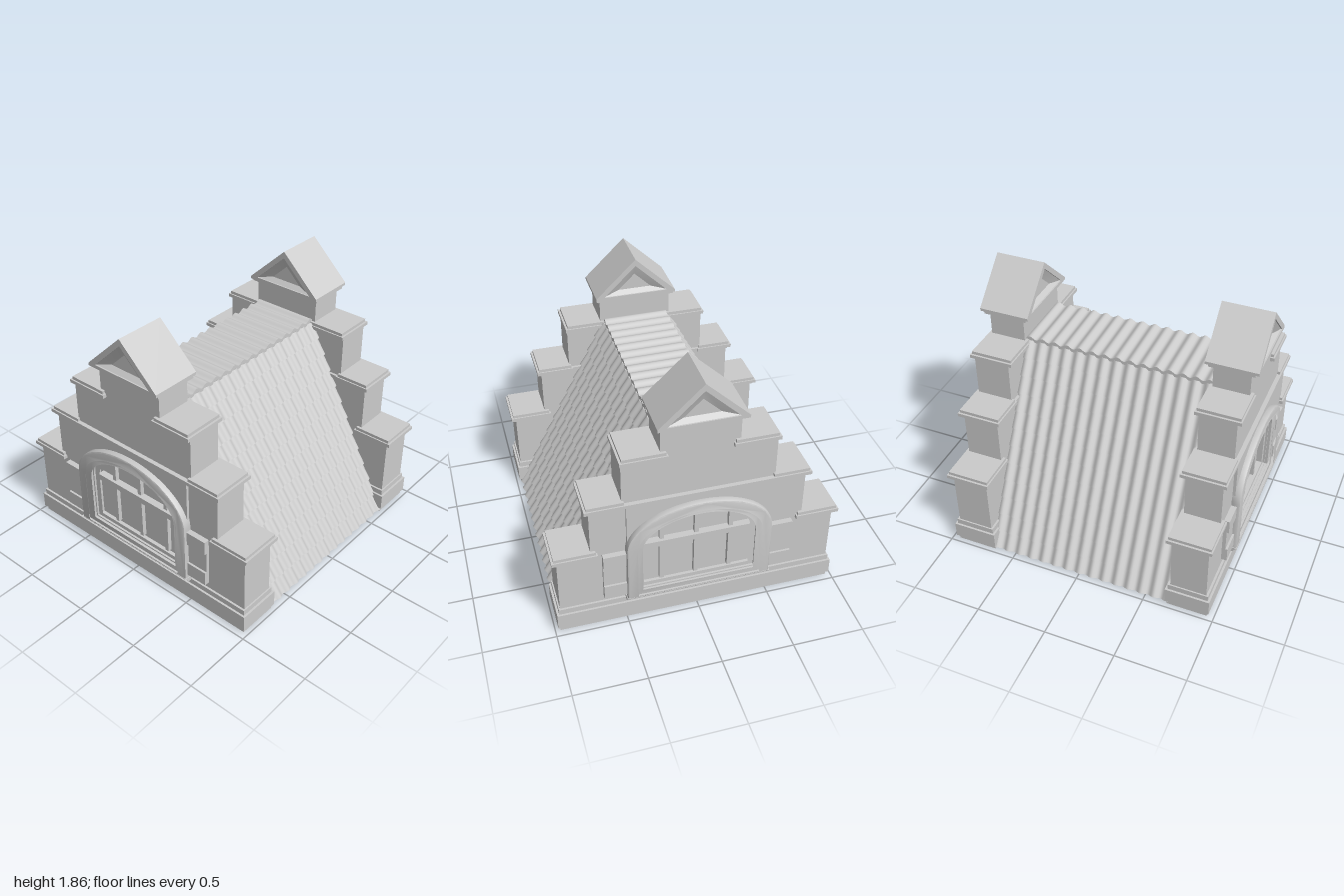
import * as THREE from 'three';
import { toCreasedNormals } from 'three/addons/utils/BufferGeometryUtils.js';

const grey = new THREE.MeshStandardMaterial({ color: 0xcccccc });
const greyBoth = new THREE.MeshStandardMaterial({ color: 0xcccccc, side: THREE.DoubleSide });

function add(parent, name, geometry, material = grey) {
  const mesh = new THREE.Mesh(geometry, material);
  mesh.name = name;
  parent.add(mesh);
  return mesh;
}

// Box given by its limits on each axis
function box(parent, name, x0, x1, y0, y1, z0, z1) {
  const mesh = add(parent, name, new THREE.BoxGeometry(x1 - x0, y1 - y0, z1 - z0));
  mesh.position.set((x0 + x1) / 2, (y0 + y1) / 2, (z0 + z1) / 2);
  return mesh;
}

// Outline in the xy plane pushed from z0 to z1
function slab(parent, name, shape, z0, z1, bevel = 0) {
  const g = new THREE.ExtrudeGeometry(shape, {
    depth: z1 - z0 - bevel, curveSegments: 24, bevelEnabled: bevel > 0,
    bevelSize: bevel, bevelThickness: bevel, bevelOffset: -bevel, bevelSegments: 2,
  });
  g.translate(0, 0, z0);
  return add(parent, name, toCreasedNormals(g, 0.6));
}

const polygon = (pts) => new THREE.Shape(pts.map(([x, y]) => new THREE.Vector2(x, y)));
const triangle = (w, y0, y1) => polygon([[-w, y0], [w, y0], [0, y1]]);

// Upright sides with a flattened round head
function arch(w, bottom, spring, top) {
  const s = new THREE.Shape();
  s.moveTo(-w, bottom);
  s.lineTo(-w, spring);
  s.absellipse(0, spring, w, top - spring, Math.PI, 0, true);
  s.lineTo(w, bottom);
  s.closePath();
  return s;
}

function withHole(shape, hole) {
  shape.holes.push(hole);
  return shape;
}

// Surface through rows of [x, y, z] points
function sheet(rows) {
  const n = rows[0].length;
  const index = [];
  for (let r = 0; r < rows.length - 1; r++) {
    for (let i = 0; i < n - 1; i++) {
      const a = r * n + i, b = a + n;
      index.push(a, a + 1, b, b, a + 1, b + 1);
    }
  }
  const g = new THREE.BufferGeometry();
  g.setAttribute('position', new THREE.Float32BufferAttribute(rows.flat(2), 3));
  g.setIndex(index);
  return toCreasedNormals(g, 0.7);
}

const BACK = 0.68, FRONT = 0.935;

function createWindow(gable) {
  const g = new THREE.Group();
  g.name = 'archedWindow';
  gable.add(g);
  // Raised field and stepped arch moulding
  const field = polygon([[-0.49, 0.18], [0.49, 0.18], [0.49, 0.99], [-0.49, 0.99]]);
  slab(g, 'raisedField', withHole(field, arch(0.42, 0.22, 0.62, 0.87)), 0.92, 0.955);
  slab(g, 'outerArch', withHole(arch(0.5, 0.2, 0.63, 0.945), arch(0.44, 0.21, 0.62, 0.89)), 0.94, 0.997, 0.012);
  slab(g, 'innerArch', withHole(arch(0.455, 0.2, 0.62, 0.9), arch(0.4, 0.24, 0.61, 0.85)), 0.9, 0.977, 0.01);
  slab(g, 'windowFrame', withHole(arch(0.41, 0.22, 0.61, 0.86), arch(0.37, 0.26, 0.6, 0.81)), 0.87, 0.92);
  // Glazing bars
  for (const x of [-0.24, 0, 0.24]) {
    const top = x === 0 ? 0.83 : 0.78;
    box(g, 'glazingBar', x - 0.015, x + 0.015, 0.25, top, 0.87, 0.9);
  }
  box(g, 'transom', -0.38, 0.38, 0.565, 0.61, 0.87, 0.92);
  // Sill with a sloping underside
  const profile = polygon([[-0.92, 0.18], [-0.92, 0.215], [-1, 0.215], [-0.97, 0.18]]);
  const sill = new THREE.ExtrudeGeometry(profile, { depth: 1.01, bevelEnabled: false });
  sill.translate(0, 0, -0.505);
  sill.rotateY(Math.PI / 2);
  sill.scale(-1, 1, -1);
  // Extrusion runs along x, with the lip facing outward
  sill.computeBoundingBox();
  if (sill.boundingBox.max.z < 0) sill.rotateY(Math.PI);
  add(g, 'sill', sill);
  // Side blocks, the middle one set back
  for (const s of [-1, 1]) {
    [[0.24, 0.345, 0.975], [0.345, 0.505, 0.96], [0.505, 0.607, 0.975]].forEach(([y0, y1, z]) => {
      const a = s * 0.49, b = s * 0.655;
      box(g, 'sideBlock', Math.min(a, b), Math.max(a, b), y0, y1, 0.92, z);
    });
  }
}

function createPediment(gable) {
  const g = new THREE.Group();
  g.name = 'pediment';
  gable.add(g);
  const outer = polygon([[-0.295, 1.56], [0.295, 1.56], [0.295, 1.58], [0, 1.86], [-0.295, 1.58]]);
  slab(g, 'pedimentFrame', withHole(outer, triangle(0.235, 1.585, 1.81)), 0.63, 0.99);
  slab(g, 'pedimentCore', triangle(0.24, 1.58, 1.815), 0.67, 0.95);
  // Sloping inner border on both faces
  const loop = (w, y0, y1, z) => [[-w, y0, z], [w, y0, z], [0, y1, z], [-w, y0, z]];
  for (const [edge, deep] of [[0.98, 0.952], [0.64, 0.668]]) {
    add(g, 'pedimentBorder', sheet([loop(0.235, 1.585, 1.81, edge), loop(0.12, 1.615, 1.73, deep)]), greyBoth);
  }
}

function createGable() {
  const g = new THREE.Group();
  g.name = 'steppedGable';
  // Stepped wall: half width and top of each tier
  const tiers = [[0.955, 0.62], [0.73, 1.01], [0.515, 1.345], [0.262, 1.56]];
  const right = [];
  let y = 0.02;
  for (const [w, top] of tiers) {
    right.push([w, y], [w, top]);
    y = top;
  }
  const outline = () => polygon([...right, ...right.map(([a, b]) => [-a, b]).reverse()]);
  slab(g, 'wallBack', outline(), BACK, 0.87);
  slab(g, 'wallFront', withHole(outline(), arch(0.41, 0.23, 0.61, 0.86)), 0.87, FRONT);

  // Plinth
  box(g, 'plinthFoot', -0.965, 0.965, 0, 0.04, 0.66, 0.95);
  box(g, 'plinth', -0.98, 0.98, 0.035, 0.15, 0.65, 0.965);
  box(g, 'plinthTop', -0.965, 0.965, 0.15, 0.19, 0.665, 0.95);

  // Coping on the shoulders: inner x, outer x, underside y
  for (const [x0, x1, y0] of [[0.685, 0.99, 0.608], [0.49, 0.762, 0.988], [0.215, 0.527, 1.325]]) {
    for (const s of [-1, 1]) {
      const piece = (name, a, b, c, d, out) =>
        box(g, name, Math.min(s * a, s * b), Math.max(s * a, s * b), c, d, BACK - out, FRONT + out);
      piece('copingSlab', x0, x1, y0, y0 + 0.025, 0.03);
      piece('copingTop', x0 + 0.012, x1 - 0.015, y0 + 0.025, y0 + 0.047, 0.02);
      piece('copingCove', x0 + 0.02, x1 - 0.022, y0 - 0.018, y0, 0.01);
    }
  }
  box(g, 'stringCourse', -0.5, 0.5, 0.988, 1.013, 0.66, 0.965);
  box(g, 'neckCove', -0.275, 0.275, 1.53, 1.545, 0.665, 0.95);
  box(g, 'neckMoulding', -0.288, 0.288, 1.54, 1.563, 0.65, 0.965);

  createWindow(g);
  createPediment(g);
  return g;
}

function createRoof() {
  const g = new THREE.Group();
  g.name = 'roof';
  const ROWS = 12, WAVE = 0.0935, STEPS = 120, HALF = 0.7;
  const foot = [0.935, 0], head = [0.225, 1.36];
  const normal = [0.885, 0.465];
  const line = (point) => Array.from({ length: STEPS + 1 }, (_, i) => {
    const z = -HALF + (2 * HALF * i) / STEPS;
    return point(z, 0.011 * Math.cos((2 * Math.PI * z) / WAVE));
  });

  // Solid body under the tiles
  slab(g, 'roofBody', polygon([[-0.93, 0], [0.93, 0], [0.22, 1.355], [-0.22, 1.355]]), -HALF, HALF);

  // Overlapping wavy tile courses on both slopes
  for (const s of [-1, 1]) {
    const rows = [];
    const course = (t, lift, ripple) => rows.push(line((z, wave) => {
      const d = lift + ripple * wave;
      const x = THREE.MathUtils.lerp(foot[0], head[0], t) + normal[0] * d;
      const y = THREE.MathUtils.lerp(foot[1], head[1], t) + normal[1] * d;
      return [s * x, Math.max(0, y), s * -z];
    }));
    for (let r = 0; r < ROWS; r++) {
      course(r / ROWS, 0, 0);
      course(r / ROWS, 0.028, 1);
      course((r + 1) / ROWS, 0.011, 1);
    }
    course(1, -0.01, 0);
    add(g, 'tiledSlope', sheet(rows), greyBoth);
  }

  // Wavy ridge covering
  const ridge = [[-0.235, 1.35, 0], [-0.235, 1.385, 1], [0.235, 1.385, 1], [0.235, 1.35, 0]]
    .map(([x, y, k]) => line((z, wave) => [x, y + k * wave, z]));
  add(g, 'ridgeTiles', sheet(ridge), greyBoth);
  return g;
}

export function createModel() {
  const model = new THREE.Group();
  model.name = 'gabledRoofHouse';
  const front = createGable();
  front.name = 'frontGable';
  const back = createGable();
  back.name = 'backGable';
  back.rotation.y = Math.PI;
  model.add(front, back, createRoof());
  return model;
}
